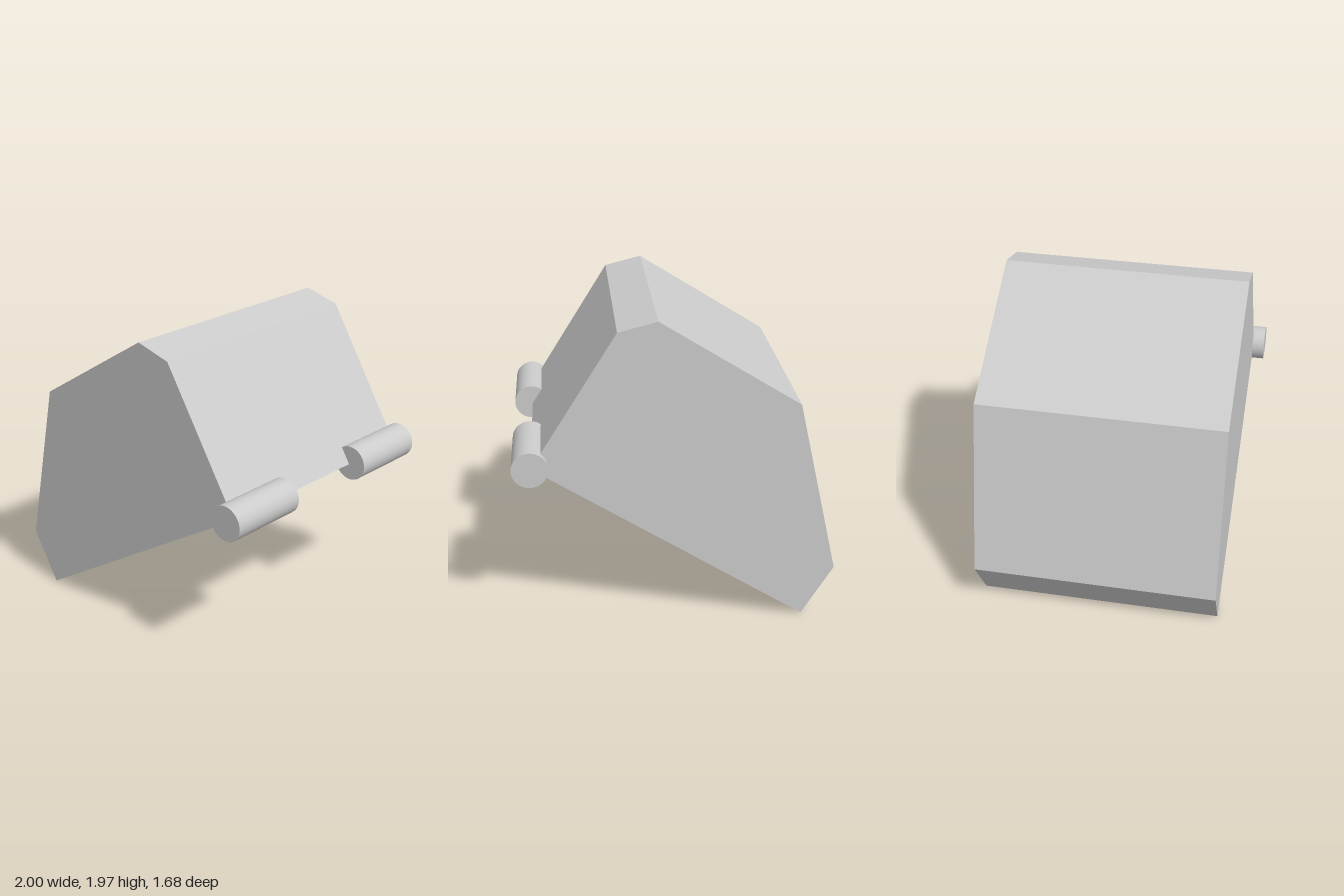
import * as THREE from 'three';

// Side profile of the bucket, from the lower lip round the back to the hinge edge
const OUTER = [[-0.8, 0], [-1, 0.32], [-0.75, 1.43], [0.11, 1.97], [0.35, 1.91], [0.88, 1.07]];
const INNER = [[-0.793, 0.065], [-0.957, 0.327], [-0.715, 1.405], [0.117, 1.927], [0.325, 1.875], [0.82, 1.09]];
const FRONT = 0.76, BACK = -0.795, WALL = 0.042;

function bucketGeometry() {
  const positions = [];
  // Convex polygon as a fan of triangles
  const face = (...p) => {
    for (let i = 1; i < p.length - 1; i++) positions.push(...p[0], ...p[i], ...p[i + 1]);
  };
  const at = (loop, z) => loop.map(([x, y]) => [x, y, z]);
  const oF = at(OUTER, FRONT), oB = at(OUTER, BACK);
  const iF = at(INNER, FRONT - WALL), iB = at(INNER, BACK + WALL);
  const last = OUTER.length - 1;

  // Outer and inner skins
  for (let i = 0; i < last; i++) {
    face(oB[i], oF[i], oF[i + 1], oB[i + 1]);
    face(iF[i], iB[i], iB[i + 1], iF[i + 1]);
  }
  // Side walls
  face(...[...oF].reverse());
  face(...oB);
  face(...iF);
  face(...[...iB].reverse());
  // Bevelled rim round the opening
  face(oF[0], iF[0], iF[last], oF[last]);
  face(oB[0], oB[last], iB[last], iB[0]);
  face(oF[0], oB[0], iB[0], iF[0]);
  face(oF[last], iF[last], iB[last], oB[last]);

  const geometry = new THREE.BufferGeometry();
  geometry.setAttribute('position', new THREE.Float32BufferAttribute(positions, 3));
  geometry.computeVertexNormals();
  return geometry;
}

export function createModel() {
  const model = new THREE.Group();
  model.name = 'hingedBucket';
  const material = new THREE.MeshStandardMaterial({ color: 0xcccccc });

  const bucket = new THREE.Mesh(bucketGeometry(), material);
  bucket.name = 'bucketShell';
  model.add(bucket);

  // Two hinge barrels on the free edge
  const barrel = new THREE.CylinderGeometry(0.112, 0.112, 0.52, 32).rotateX(Math.PI / 2);
  for (const side of [1, -1]) {
    const hinge = new THREE.Mesh(barrel, material);
    hinge.name = side > 0 ? 'frontHingeBarrel' : 'backHingeBarrel';
    hinge.position.set(0.886, 1.08, side * 0.578);
    model.add(hinge);
  }
  return model;
}
